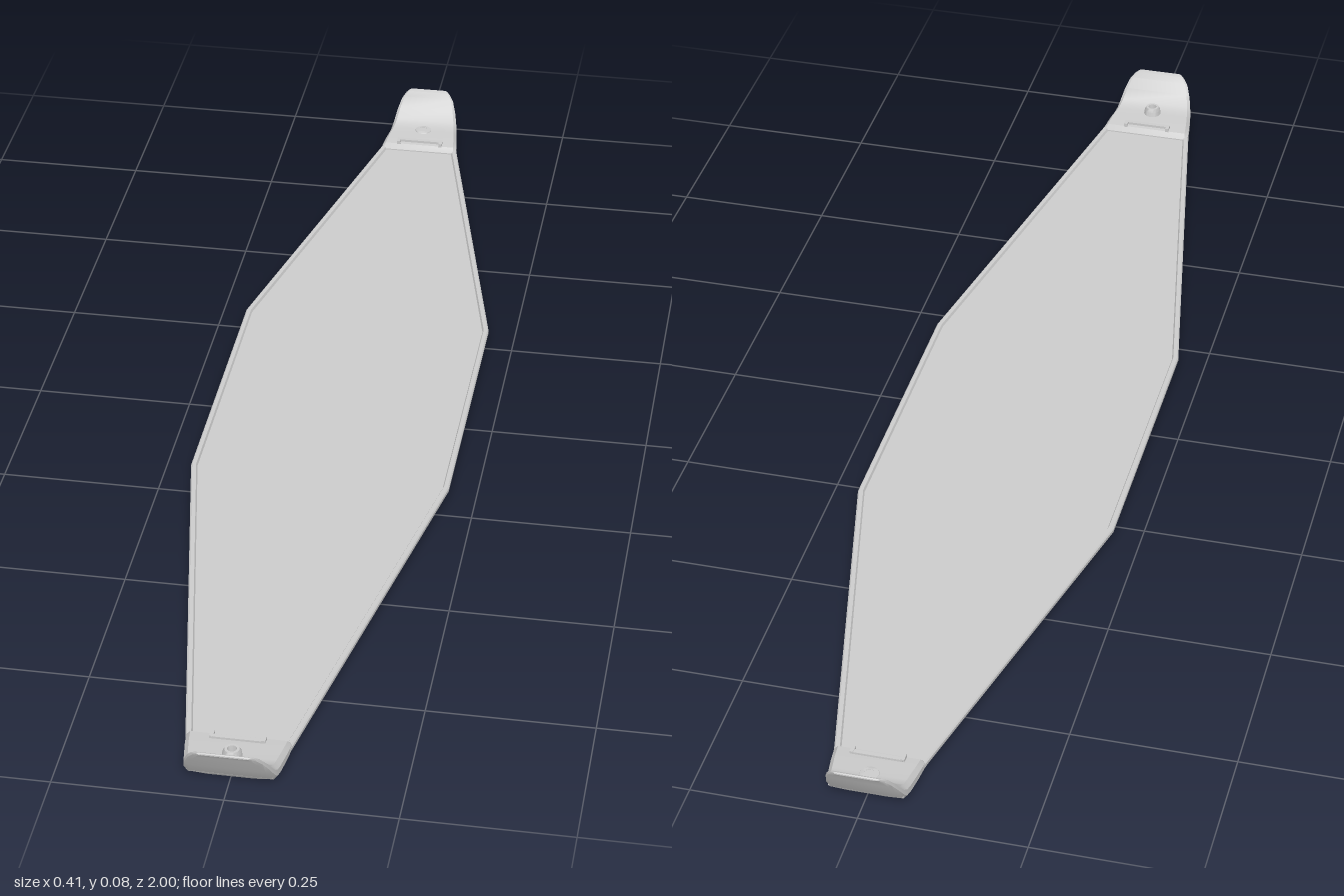
import * as THREE from 'three';
import { toCreasedNormals } from 'three/addons/utils/BufferGeometryUtils.js';

const material = new THREE.MeshStandardMaterial({ color: 0xcccccc, side: THREE.DoubleSide });

function add(parent, name, geometry, x = 0, y = 0, z = 0) {
  const mesh = new THREE.Mesh(geometry, material);
  mesh.name = name;
  mesh.position.set(x, y, z);
  parent.add(mesh);
  return mesh;
}

// Skin closed rings of equal length, capping the first and last ring
function loft(rings, crease) {
  const n = rings[0].length, index = [];
  for (let r = 0; r < rings.length - 1; r++) {
    for (let i = 0; i < n; i++) {
      const a = r * n + i, b = r * n + (i + 1) % n;
      index.push(a, b, b + n, a, b + n, a + n);
    }
  }
  const last = (rings.length - 1) * n;
  for (let i = 1; i < n - 1; i++) {
    index.push(0, i + 1, i, last, last + i, last + i + 1);
  }
  const g = new THREE.BufferGeometry();
  g.setAttribute('position', new THREE.Float32BufferAttribute(rings.flat(2), 3));
  g.setIndex(index);
  return toCreasedNormals(g, crease);
}

// Long hexagonal deck: chamfered underside, thin rim, shallow recessed top
function deckGeometry() {
  const side = [[0.062, 0.955], [0.078, 0.885], [0.207, 0.2], [0.207, -0.28], [0.068, -0.885], [0.056, -0.955]];
  const outline = [...side, ...side.map(([x, z]) => [-x, z]).reverse()];
  const levels = [[0.028, 0], [0.022, 0.002], [0.002, 0.009], [0, 0.011], [0, 0.016],
    [0.002, 0.018], [0.008, 0.018], [0.010, 0.014]];
  return loft(levels.map(([inset, y]) => outline.map(([x, z]) =>
    [x - Math.sign(x) * inset, y, z - Math.sign(z) * inset * 0.3])), 0.5);
}

// End fitting: flat pad flowing into an upturned, tapering lip
function endGeometry(widthScale) {
  // z, underside y, top y, half width
  const stations = [
    [0.876, 0.004, 0.016, 0.078], [0.884, 0.003, 0.024, 0.077], [0.91, 0.001, 0.027, 0.074],
    [0.935, 0.000, 0.028, 0.070], [0.948, 0.003, 0.030, 0.068], [0.957, 0.012, 0.035, 0.066],
    [0.972, 0.034, 0.051, 0.061], [0.985, 0.054, 0.067, 0.054], [0.993, 0.066, 0.075, 0.046],
    [0.998, 0.073, 0.078, 0.039], [1.0, 0.075, 0.077, 0.035],
  ];
  return loft(stations.map(([z, lo, hi, w]) => {
    const h = w * widthScale, e = Math.min(0.006, h * 0.1), d = (hi - lo) * 0.3;
    return [[-h + e, lo, z], [h - e, lo, z], [h, lo + d, z], [h, hi - d, z],
      [h - e, hi, z], [-h + e, hi, z], [-h, hi - d, z], [-h, lo + d, z]];
  }), 0.6);
}

function endFitting(name, widthScale, bossHeight) {
  const end = new THREE.Group();
  end.name = name;
  add(end, 'upturnedLip', endGeometry(widthScale));

  // Fastener: raised collar around a sunken head
  const collar = [[0.007, 0], [0.007, bossHeight], [0.011, bossHeight], [0.014, bossHeight * 0.6], [0.015, 0]];
  add(end, 'fastenerCollar', toCreasedNormals(new THREE.LatheGeometry(
    collar.map(([r, y]) => new THREE.Vector2(r, y)), 24), 0.6), 0, 0.027, 0.935);
  add(end, 'fastenerHead', new THREE.CylinderGeometry(0.007, 0.007, 0.003, 20), 0, 0.028, 0.935);

  // Narrow latch bar framed by two side stops
  add(end, 'latchBar', new THREE.BoxGeometry(0.076, 0.006, 0.007), 0, 0.026, 0.894);
  for (const s of [-1, 1]) {
    add(end, 'latchStop', new THREE.BoxGeometry(0.006, 0.007, 0.014), s * 0.038, 0.026, 0.89);
  }
  return end;
}

export function createModel() {
  const model = new THREE.Group();
  model.name = 'deckBoard';
  add(model, 'deck', deckGeometry());

  const front = endFitting('frontEnd', 1, 0.014);
  const back = endFitting('backEnd', 0.88, 0.003);
  back.rotation.y = Math.PI;
  model.add(front, back);

  // Round medallion with plain rings set into the underside
  const medallion = new THREE.Group();
  medallion.name = 'undersideMedallion';
  medallion.position.set(0, 0.001, -0.09);
  model.add(medallion);
  add(medallion, 'medallionDisc', new THREE.CylinderGeometry(0.052, 0.052, 0.003, 40));
  for (const r of [0.036, 0.054]) {
    const ring = add(medallion, 'medallionRing', new THREE.TorusGeometry(r, 0.002, 8, 40));
    ring.rotation.x = Math.PI / 2;
  }

  // Rest the lowest point on the ground
  model.position.y = 0.001;
  return model;
}
